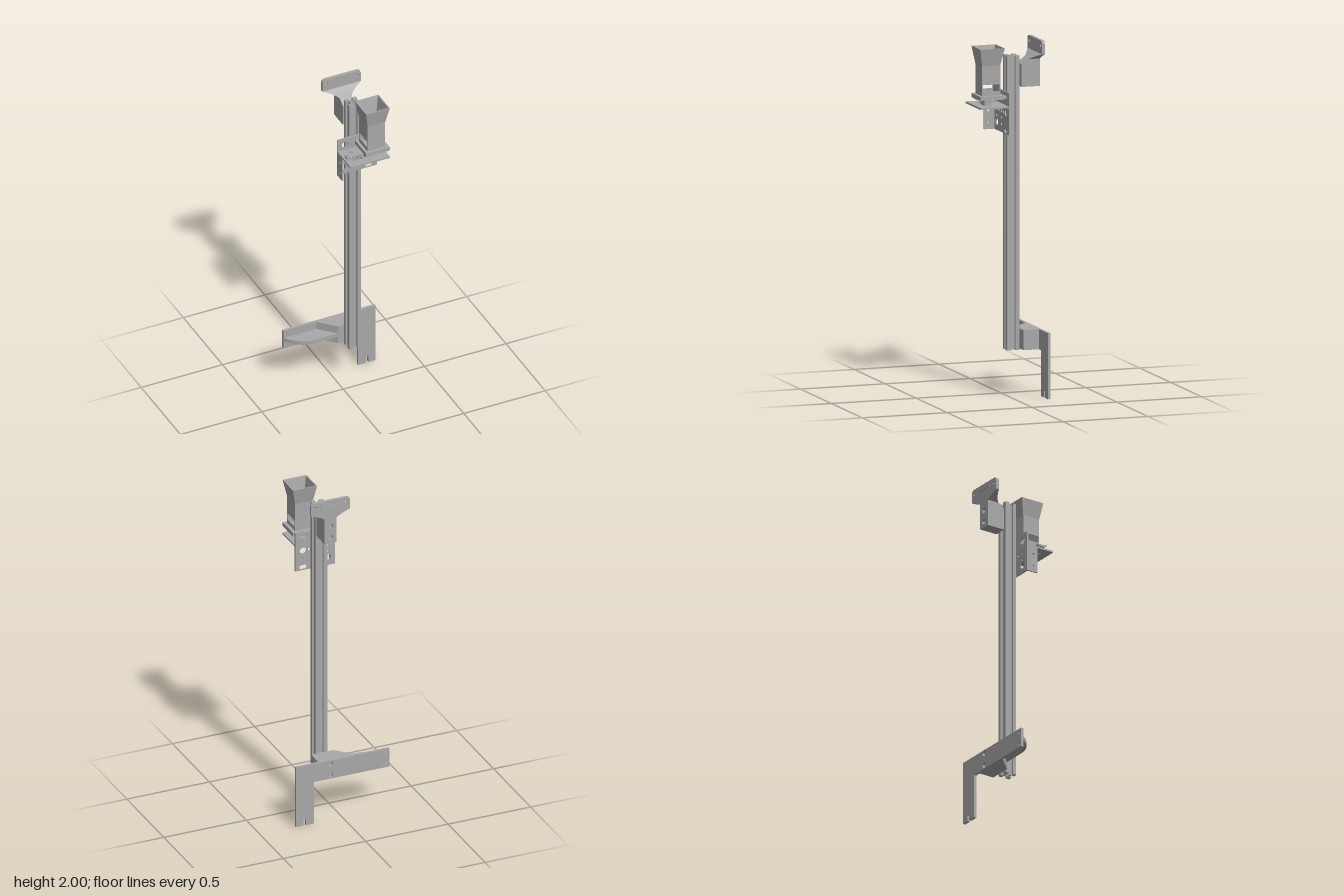
import * as THREE from 'three';

const grey = new THREE.MeshStandardMaterial({ color: 0xa8a8a8 });
grey.name = 'grey';

export function createModel() {
  const root = new THREE.Group();
  const CX = 0.0735; // post axis

  const add = (parent, name, geo) => {
    const m = new THREE.Mesh(geo, grey);
    m.name = name;
    parent.add(m);
    return m;
  };
  const group = (name) => {
    const g = new THREE.Group();
    g.name = name;
    root.add(g);
    return g;
  };
  // Box given by its limits
  const box = (parent, name, x0, x1, y0, y1, z0, z1) =>
    add(parent, name, new THREE.BoxGeometry(x1 - x0, y1 - y0, z1 - z0)
      .translate((x0 + x1) / 2, (y0 + y1) / 2, (z0 + z1) / 2));

  const poly = (pts) => new THREE.Shape(pts.map((p) => new THREE.Vector2(...p)));
  const rect = (x0, x1, y0, y1) => poly([[x0, y0], [x1, y0], [x1, y1], [x0, y1]]);
  const circle = (x, y, r) => new THREE.Path().absarc(x, y, r, 0, Math.PI * 2, true);
  const slot = (x, y, w, r) => new THREE.Path()
    .absarc(x - w / 2 + r, y, r, Math.PI / 2, Math.PI * 1.5, false)
    .absarc(x + w / 2 - r, y, r, -Math.PI / 2, Math.PI / 2, false);
  const extrude = (shape, holes, depth) => {
    shape.holes.push(...holes);
    return new THREE.ExtrudeGeometry(shape, { depth, bevelEnabled: false, curveSegments: 12 });
  };
  // Upright sheet (x, y) between two z; level sheet (x, -z) between two y
  const upright = (shape, holes, z0, z1) => extrude(shape, holes, z1 - z0).translate(0, 0, z0);
  const level = (shape, holes, y0, y1) =>
    extrude(shape, holes, y1 - y0).rotateX(-Math.PI / 2).translate(0, y0, 0);

  // Skin over rectangular sections [x0, x1, z0, z1, y]
  const loft = (sections) => {
    const rings = sections.map(([x0, x1, z0, z1, y]) =>
      [[x0, y, z1], [x1, y, z1], [x1, y, z0], [x0, y, z0]]);
    const pos = [];
    for (let i = 0; i < rings.length - 1; i++) {
      for (let j = 0; j < 4; j++) {
        const k = (j + 1) % 4;
        const [a, b, c, d] = [rings[i][j], rings[i][k], rings[i + 1][k], rings[i + 1][j]];
        pos.push(...a, ...b, ...c, ...a, ...c, ...d);
      }
    }
    const g = new THREE.BufferGeometry();
    g.setAttribute('position', new THREE.Float32BufferAttribute(pos, 3));
    g.computeVertexNormals();
    return g;
  };

  // Slotted post: one quadrant of the profile turned four times
  const quadrant = [[4.4, 2.6], [7, 5.4], [8.3, 5.4], [8.3, 4.4], [7.4, 3.2], [10, 3.2], [10, 9.2],
    [9.2, 10], [3.2, 10], [3.2, 7.4], [4.4, 8.3], [5.4, 8.3], [5.4, 7], [2.6, 4.4]];
  const mm = 0.00365;
  const outline = [];
  for (let q = 0; q < 4; q++) {
    const c = Math.round(Math.cos(q * Math.PI / 2)), s = Math.round(Math.sin(q * Math.PI / 2));
    for (const [x, y] of quadrant) outline.push([(x * c - y * s) * mm, (x * s + y * c) * mm]);
  }
  const core = new THREE.Path();
  for (let i = 0; i < 8; i++) {
    const a = -(i + 0.5) * Math.PI / 4;
    core[i ? 'lineTo' : 'moveTo'](3.5 * mm * Math.cos(a), 3.5 * mm * Math.sin(a));
  }
  core.closePath();
  add(root, 'post', level(poly(outline), [core], 0.26, 1.912).translate(CX, 0, -0.033));

  // Lower bracket
  const lower = group('lowerBracket');
  const lowerOutline = poly([[-0.285, 0.262], [0.175, 0.262], [0.175, 0.004], [0.222, 0.004],
    [0.222, 0.04], [0.23, 0.048], [0.238, 0.04], [0.238, 0.004], [0.283, 0.004], [0.283, 0.375], [-0.285, 0.375]]);
  add(lower, 'backPlate', upright(lowerOutline, [
    circle(-0.268, 0.352, 0.008), circle(-0.268, 0.279, 0.008),
    circle(CX, 0.283, 0.016), circle(CX, 0.355, 0.016)], -0.188, -0.172));
  add(lower, 'spacerBlock', level(
    poly([[-0.082, 0.172], [0.008, 0.08], [0.142, 0.08], [0.142, 0.172]].reverse()), [], 0.262, 0.375));
  const rib = new THREE.Shape();
  rib.moveTo(-0.282, 0.172);
  rib.bezierCurveTo(-0.245, 0.115, -0.195, 0.08, -0.13, 0.08);
  rib.lineTo(0.01, 0.08);
  rib.lineTo(0.01, 0.172);
  add(lower, 'curvedRib', level(rib, [], 0.305, 0.328));

  // Upper bracket
  const upper = group('upperBracket');
  const [ux0, ux1, uy] = [-0.045, 0.192, 1.926];
  const head = new THREE.Shape();
  head.moveTo(ux0, uy);
  head.lineTo(ux1, uy);
  head.lineTo(ux1, 1.98);
  head.absarc(ux1 - 0.02, 1.98, 0.02, 0, Math.PI / 2, false);
  head.absarc(ux0 + 0.02, 1.98, 0.02, Math.PI / 2, Math.PI, false);
  add(upper, 'headPlate', upright(head,
    [circle(-0.021, 1.972, 0.009), circle(0.168, 1.972, 0.009)], -0.19, -0.172));
  add(upper, 'flare', loft([[0.037, 1.862, -0.08], [0.037, 1.889, -0.118], [0.052, 1.899, -0.135],
    [0.085, 1.914, -0.156], [0.1185, 1.926, -0.172]].map(([w, y, z]) => [CX - w, CX + w, -0.19, z, y])));
  add(upper, 'backLayer', upright(rect(CX - 0.037, CX + 0.037, 1.735, 1.862),
    [circle(CX, 1.77, 0.016), circle(CX, 1.84, 0.016)], -0.19, -0.17));
  box(upper, 'spacerBlock', CX - 0.037, CX + 0.037, 1.735, 1.862, -0.17, -0.08);
  box(upper, 'raisedBar', 0.02, 0.128, 1.962, 1.974, -0.195, -0.19);

  // Sheet metal mount
  const mount = group('mount');
  const small = [[0, 1.604], [0, 1.567], [CX, 1.604], [CX, 1.567], [CX, 1.53], [0.037, 1.604], [0.11, 1.604]];
  const large = [[0, 1.678], [0, 1.53], [0.147, 1.604]];
  add(mount, 'uprightSheet', upright(rect(-0.047, 0.195, 1.483, 1.72), [
    ...small.map(([x, y]) => circle(x, y, 0.009)), ...large.map(([x, y]) => circle(x, y, 0.02)),
    slot(0.147, 1.502, 0.048, 0.013), slot(0.147, 1.695, 0.048, 0.011)], 0.017, 0.025));
  add(mount, 'sideFlange', extrude(rect(-0.085, -0.025, 1.483, 1.636),
    [circle(-0.058, 1.59, 0.008), circle(-0.058, 1.52, 0.005)], 0.008)
    .rotateY(Math.PI / 2).translate(-0.047, 0, 0));
  add(mount, 'shelf', level(rect(-0.047, 0.195, -0.192, -0.025), [
    rect(0.001, 0.025, -0.047, -0.039), rect(0.001, 0.025, -0.066, -0.057),
    poly([[-0.013, -0.14], [0.05, -0.146], [0.05, -0.093], [-0.013, -0.099]])], 1.635, 1.645));
  add(mount, 'screwHead', new THREE.CylinderGeometry(0.009, 0.009, 0.008, 16)
    .rotateX(Math.PI / 2).translate(0.147, 1.567, 0.014));

  // Sliding gate under the hopper
  const gate = group('gate');
  box(gate, 'sliderBar', -0.02, 0.13, 1.657, 1.667, 0.105, 0.131);
  add(gate, 'sliderEnd', level(rect(-0.04, -0.014, -0.141, -0.097),
    [circle(-0.028, -0.108, 0.006), circle(-0.028, -0.13, 0.006)], 1.656, 1.668));
  box(gate, 'pin', -0.055, -0.022, 1.66, 1.664, 0.141, 0.145);
  box(gate, 'hub', 0.065, 0.13, 1.645, 1.686, 0.105, 0.145);

  // Hopper: flared open top, side windows near the base
  const hopper = group('hopper');
  const t = 0.006;
  const [x0, x1, z0, z1] = [0.065, 0.174, 0.068, 0.175];
  const [X0, X1, Z0, Z1] = [0.049, 0.194, 0.048, 0.192];
  add(hopper, 'funnel', loft([
    [x0, x1, z0, z1, 1.77], [x0, x1, z0, z1, 1.875], [X0, X1, Z0, Z1, 1.973],
    [X0 + t, X1 - t, Z0 + t, Z1 - t, 1.973], [x0 + t, x1 - t, z0 + t, z1 - t, 1.875],
    [x0 + t, x1 - t, z0 + t, z1 - t, 1.77], [x0, x1, z0, z1, 1.77]]));
  for (const z of [z0, z1 - t]) box(hopper, 'lowerWall', x0, x1, 1.7, 1.77, z, z + t);
  for (const x of [x0, x1 - t]) box(hopper, 'windowSill', x, x + t, 1.7, 1.732, z0 + t, z1 - t);
  box(hopper, 'basePlate', X0, X1, 1.685, 1.708, Z0, Z1);

  return root;
}
